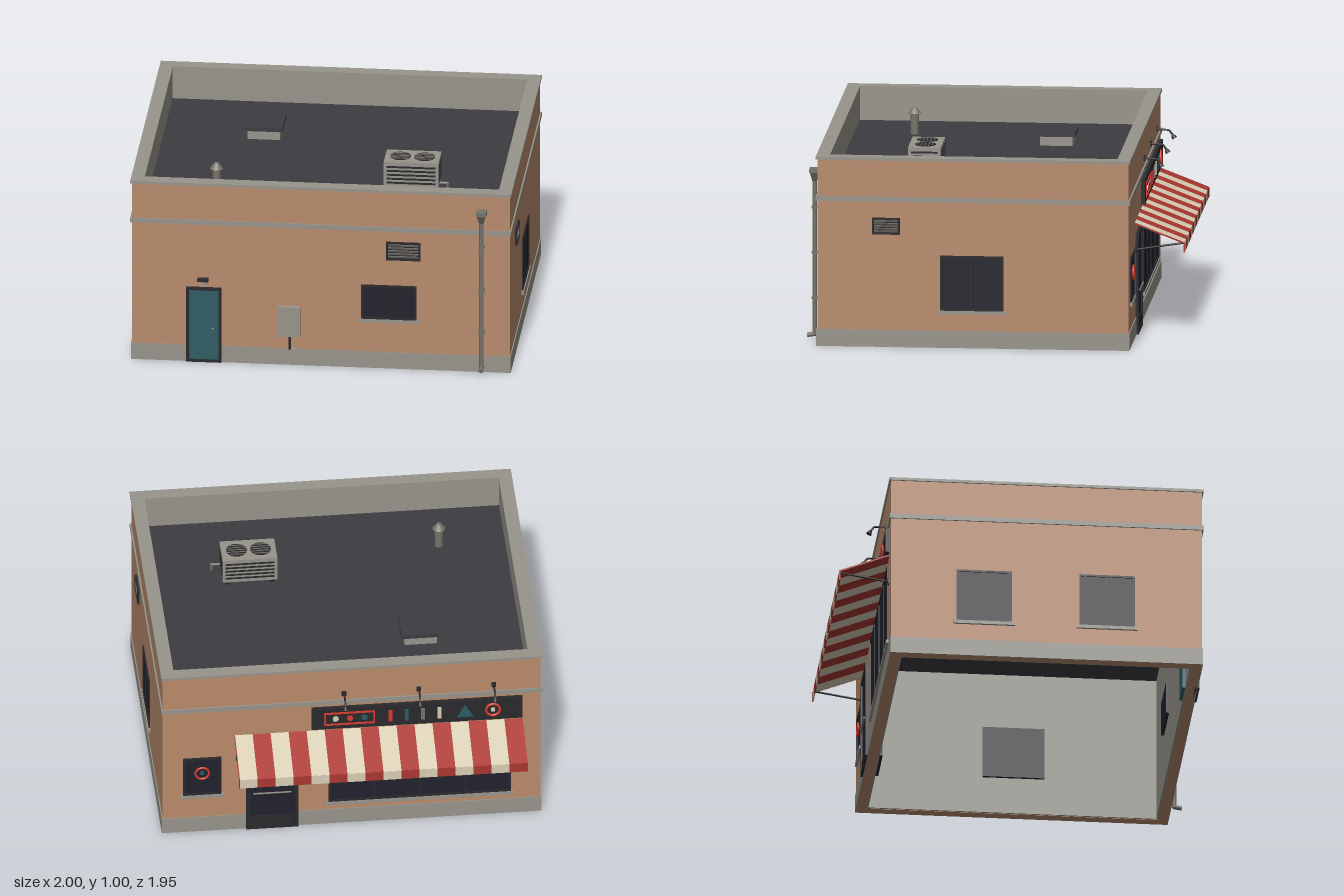
import * as THREE from 'three';

const mat = (name, color) => Object.assign(new THREE.MeshStandardMaterial({ color }), { name });
const M = {
  brick: mat('terracotta wall', 0xb98b6c),
  concrete: mat('concrete', 0x97948b),
  roof: mat('dark roofing', 0x3d3b41),
  teal: mat('teal paint', 0x2f5c64),
  glass: mat('dark glass', 0x22222d),
  dark: mat('dark metal', 0x2a292c),
  steel: mat('grey steel', 0x77736c),
  red: mat('awning red', 0xab3630),
  cream: mat('awning cream', 0xd9cdb4),
  neon: mat('neon red', 0xd63a2e),
};

function add(parent, name, geometry, material) {
  const mesh = new THREE.Mesh(geometry, material);
  mesh.name = name;
  parent.add(mesh);
  return mesh;
}

// box given by its limits on each axis
function box(parent, name, material, x0, x1, y0, y1, z0, z1) {
  const mesh = add(parent, name, new THREE.BoxGeometry(x1 - x0, y1 - y0, z1 - z0), material);
  mesh.position.set((x0 + x1) / 2, (y0 + y1) / 2, (z0 + z1) / 2);
  return mesh;
}

function cyl(parent, name, material, r0, r1, y0, y1, x, z, sides = 16) {
  const mesh = add(parent, name, new THREE.CylinderGeometry(r1, r0, y1 - y0, sides), material);
  mesh.position.set(x, (y0 + y1) / 2, z);
  return mesh;
}

// round bar between two points
function rod(parent, name, material, a, b, r) {
  const p = new THREE.Vector3(...a), d = new THREE.Vector3(...b).sub(p);
  const mesh = add(parent, name, new THREE.CylinderGeometry(r, r, d.length(), 10), material);
  mesh.position.copy(p).addScaledVector(d, 0.5);
  mesh.quaternion.setFromUnitVectors(new THREE.Vector3(0, 1, 0), d.normalize());
  return mesh;
}

function group(parent, name) {
  const g = new THREE.Group();
  g.name = name;
  parent.add(g);
  return g;
}

const X = 0.985, ZF = 0.905, ZB = -0.715, ROOF = 0.82;

// rectangular ring round the building, grown outwards by out, t thick
function ring(parent, name, material, out, t, y0, y1) {
  const g = group(parent, name), x = X + out, f = ZF + out, b = ZB - out;
  box(g, name + 'Front', material, -x, x, y0, y1, f - t, f);
  box(g, name + 'Back', material, -x, x, y0, y1, b, b + t);
  for (const s of [-1, 1]) {
    const side = box(g, name + 'Side', material, -t / 2, t / 2, y0, y1, b + t, f - t);
    side.position.x = s * (x - t / 2);
  }
}

// frame of four bars around an opening
function frame(g, name, material, u0, u1, y0, y1, t, z0, z1) {
  box(g, name, material, u0, u0 + t, y0, y1, z0, z1);
  box(g, name, material, u1 - t, u1, y0, y1, z0, z1);
  box(g, name, material, u0 + t, u1 - t, y1 - t, y1, z0, z1);
  box(g, name, material, u0 + t, u1 - t, y0, y0 + t, z0, z1);
}

// window through the wall; u runs along the wall, z points outwards
function windowUnit(wall, u, w, y0, y1, panes) {
  const g = group(wall, 'window'), a = u - w / 2, b = u + w / 2;
  box(g, 'glass', M.glass, a + 0.004, b - 0.004, y0 + 0.004, y1 - 0.004, -0.075, 0.003);
  frame(g, 'windowFrame', M.dark, a, b, y0, y1, 0.011, -0.01, 0.008);
  for (let i = 1; i < panes; i++) {
    const m = a + (w * i) / panes;
    box(g, 'mullion', M.dark, m - 0.005, m + 0.005, y0 + 0.01, y1 - 0.01, 0, 0.007);
  }
  box(g, 'sill', M.concrete, a - 0.015, b + 0.015, y0 - 0.018, y0, -0.01, 0.013);
}

function louvre(wall, u0, u1, y0, y1) {
  const g = group(wall, 'louvreVent'), n = 5, h = (y1 - y0 - 0.02) / n;
  box(g, 'louvreBack', M.dark, u0, u1, y0, y1, -0.01, 0.005);
  frame(g, 'louvreFrame', M.dark, u0, u1, y0, y1, 0.01, 0, 0.012);
  for (let i = 0; i < n; i++) {
    const y = y0 + 0.01 + (i + 0.5) * h;
    const slat = box(g, 'slat', M.steel, u0 + 0.01, u1 - 0.01, y - h * 0.32, y + h * 0.32, 0.004, 0.008);
    slat.rotation.x = 0.4;
  }
}

function frontWall(g) {
  // back-of-house door with lamp
  const door = group(g, 'serviceDoor');
  box(door, 'doorLeaf', M.teal, -0.69, -0.53, 0.004, 0.408, -0.075, 0.008);
  frame(door, 'doorFrame', M.dark, -0.702, -0.518, 0, 0.417, 0.015, -0.01, 0.014);
  add(door, 'doorKnob', new THREE.SphereGeometry(0.007, 12, 8), M.steel).position.set(-0.562, 0.19, 0.016);
  box(door, 'lampHood', M.dark, -0.642, -0.585, 0.452, 0.47, 0, 0.022);
  box(door, 'lampGlass', M.concrete, -0.634, -0.593, 0.436, 0.452, 0, 0.016);
  // meter box and conduit
  box(g, 'meterBox', M.concrete, -0.22, -0.105, 0.165, 0.33, 0, 0.03);
  rod(g, 'conduit', M.dark, [-0.16, 0.09, 0.012], [-0.16, 0.17, 0.012], 0.007);
  windowUnit(g, 0.355, 0.29, 0.275, 0.465, 2);
  louvre(g, 0.34, 0.52, 0.61, 0.71);
  // downspout
  const d = group(g, 'downspout');
  rod(d, 'pipe', M.steel, [0.84, 0.03, 0.026], [0.84, 0.86, 0.026], 0.012);
  const hopper = cyl(d, 'hopper', M.steel, 0.017, 0.032, 0.845, 0.888, 0.84, 0.026, 4);
  hopper.geometry.rotateY(Math.PI / 4);
  box(d, 'hopperRim', M.steel, 0.814, 0.866, 0.888, 0.91, 0, 0.052);
  rod(d, 'shoe', M.steel, [0.84, 0.035, 0.02], [0.84, 0.028, 0.065], 0.012);
  for (const y of [0.22, 0.46, 0.7]) box(d, 'bracket', M.steel, 0.824, 0.856, y, y + 0.012, 0, 0.04);
}

function shopWall(g) {
  // shop window, small window with a lit ring, and entrance
  windowUnit(g, 0.355, 0.95, 0.14, 0.57, 4);
  windowUnit(g, -0.78, 0.2, 0.235, 0.47, 1);
  add(g, 'neonRing', new THREE.TorusGeometry(0.035, 0.006, 8, 28), M.neon).position.set(-0.78, 0.375, 0.01);
  box(g, 'neonBar', M.teal, -0.79, -0.77, 0.365, 0.385, 0.004, 0.01);
  const door = group(g, 'shopDoor');
  box(door, 'doorGlass', M.glass, -0.54, -0.29, 0.004, 0.52, -0.075, 0.007);
  frame(door, 'doorFrame', M.dark, -0.55, -0.278, 0, 0.53, 0.02, -0.01, 0.016);
  box(door, 'kickPlate', M.dark, -0.53, -0.298, 0.02, 0.08, 0, 0.012);
  rod(door, 'pushBar', M.steel, [-0.515, 0.23, 0.02], [-0.315, 0.23, 0.02], 0.005);

  // sign board with abstract lit shapes
  const sign = group(g, 'signBoard');
  box(sign, 'board', M.dark, -0.21, 0.89, 0.62, 0.752, 0, 0.02);
  frame(sign, 'neonFrame', M.neon, -0.145, 0.12, 0.645, 0.725, 0.009, 0.02, 0.026);
  [M.cream, M.neon, M.teal].forEach((m, i) => {
    const dot = add(sign, 'dot', new THREE.CylinderGeometry(0.016, 0.016, 0.006, 16), m);
    dot.rotation.x = Math.PI / 2;
    dot.position.set(-0.085 + i * 0.075, 0.685, 0.023);
  });
  [M.neon, M.teal, M.steel, M.cream].forEach((m, i) => {
    const u = 0.2 + i * 0.085;
    box(sign, 'bar', m, u - 0.01, u + 0.01, 0.65, 0.72, 0.02, 0.026);
  });
  const tri = add(sign, 'triangle', new THREE.CylinderGeometry(0.05, 0.05, 0.006, 3), M.teal);
  tri.rotation.x = Math.PI / 2;
  tri.geometry.rotateY(Math.PI);
  tri.position.set(0.59, 0.675, 0.023);
  add(sign, 'ring', new THREE.TorusGeometry(0.036, 0.007, 8, 28), M.neon).position.set(0.735, 0.685, 0.023);
  box(sign, 'ringCentre', M.cream, 0.725, 0.745, 0.675, 0.695, 0.02, 0.026);

  // gooseneck lamps
  for (const u of [0.74, 0.35, -0.04]) {
    const lamp = group(g, 'signLamp');
    box(lamp, 'mount', M.dark, u - 0.012, u + 0.012, 0.82, 0.846, 0, 0.008);
    rod(lamp, 'arm', M.dark, [u, 0.833, 0], [u, 0.83, 0.066], 0.005);
    rod(lamp, 'neck', M.dark, [u, 0.83, 0.066], [u, 0.806, 0.083], 0.005);
    const shade = add(lamp, 'shade', new THREE.CylinderGeometry(0.006, 0.015, 0.024, 14), M.dark);
    shade.position.set(u, 0.798, 0.088);
    shade.rotation.x = -0.5;
  }

  // striped awning with a straight valance
  const aw = group(g, 'awning'), out = 0.258, drop = 0.1, w = 1.5 / 16;
  const slope = Math.atan2(drop, out), len = Math.hypot(drop, out);
  const strip = (name, m, u, width, t) => {
    const top = add(aw, name, new THREE.BoxGeometry(width, t, len), m);
    top.position.set(u, 0.55, out / 2);
    top.rotation.x = slope;
    box(aw, name + 'Valance', m, u - width / 2, u + width / 2, 0.45, 0.502, out - t / 2, out + t / 2);
  };
  for (let i = 0; i < 16; i++) strip('stripe', i % 2 ? M.cream : M.red, 0.89 - (i + 0.5) * w, w, 0.006);
  for (const u of [0.89, -0.61]) {
    strip('endTrim', M.red, u, 0.004, 0.008);
    const a = u > 0 ? u - 0.02 : u + 0.02;
    rod(aw, 'supportArm', M.dark, [a, 0.457, 0], [a, 0.497, out - 0.004], 0.005);
    box(aw, 'armPlate', M.dark, a - 0.012, a + 0.012, 0.442, 0.472, 0, 0.008);
  }
}

function roofItems(root) {
  // access hatch
  const hatch = group(root, 'roofHatch');
  box(hatch, 'curb', M.concrete, -0.485, -0.315, ROOF, ROOF + 0.05, -0.315, -0.145);
  box(hatch, 'lid', M.roof, -0.5, -0.3, ROOF + 0.05, ROOF + 0.07, -0.33, -0.13);
  // vent stack
  const stack = group(root, 'ventStack');
  cyl(stack, 'stackPipe', M.steel, 0.022, 0.022, ROOF, ROOF + 0.12, -0.58, 0.53);
  cyl(stack, 'stackCap', M.steel, 0.034, 0.012, ROOF + 0.11, ROOF + 0.14, -0.58, 0.53);
  // cooling unit with slatted sides and two fans
  const ac = group(root, 'coolingUnit'), y = ROOF + 0.155;
  box(ac, 'casing', M.concrete, 0.285, 0.57, ROOF + 0.015, y, 0.298, 0.468);
  for (const x of [0.3, 0.53]) box(ac, 'foot', M.dark, x, x + 0.025, ROOF, ROOF + 0.015, 0.3, 0.466);
  for (let i = 0; i < 5; i++) {
    const s = ROOF + 0.035 + i * 0.022;
    box(ac, 'slotLong', M.dark, 0.3, 0.555, s, s + 0.01, 0.296, 0.47);
    box(ac, 'slotShort', M.dark, 0.283, 0.572, s, s + 0.01, 0.313, 0.453);
  }
  for (const x of [0.365, 0.49]) {
    cyl(ac, 'fan', M.dark, 0.054, 0.054, y, y + 0.003, x, 0.383, 28);
    for (let i = -2; i <= 2; i++) {
      const z = 0.383 + i * 0.019, h = Math.sqrt(0.054 ** 2 - (i * 0.019) ** 2);
      box(ac, 'grilleBar', M.steel, x - h, x + h, y + 0.002, y + 0.006, z - 0.002, z + 0.002);
    }
  }
  rod(ac, 'coolantPipe', M.steel, [0.56, ROOF + 0.035, 0.435], [0.62, ROOF + 0.035, 0.435], 0.007);
  rod(ac, 'coolantDrop', M.steel, [0.615, ROOF, 0.435], [0.615, ROOF + 0.038, 0.435], 0.007);
}

export function createModel() {
  const root = new THREE.Group();
  root.name = 'cornerShop';

  // shell
  ring(root, 'wall', M.brick, 0, 0.05, 0, 0.985);
  ring(root, 'innerLining', M.concrete, -0.05, 0.01, 0.002, 0.985);
  ring(root, 'plinth', M.concrete, 0.005, 0.01, 0, 0.09);
  ring(root, 'beltCourse', M.concrete, 0.008, 0.02, 0.768, 0.793);
  ring(root, 'coping', M.concrete, 0.008, 0.07, 0.985, 1);
  box(root, 'roofDeck', M.roof, -X + 0.055, X - 0.055, ROOF - 0.03, ROOF, ZB + 0.055, ZF - 0.055);

  // each wall's fittings share one local frame: x along, z outwards
  const wall = (name, x, z, turn) => {
    const g = group(root, name);
    g.position.set(x, 0, z);
    g.rotation.y = turn;
    return g;
  };
  frontWall(wall('frontFittings', 0, ZF, 0));
  shopWall(wall('shopFittings', 0, ZB, Math.PI));
  const left = wall('leftFittings', X, 0, Math.PI / 2);
  windowUnit(left, -0.1, 0.33, 0.197, 0.487, 2);
  louvre(left, -0.62, -0.475, 0.595, 0.682);
  const right = wall('rightFittings', -X, 0, -Math.PI / 2);
  for (const z of [-0.23, 0.41]) windowUnit(right, z, 0.29, 0.197, 0.487, 2);

  roofItems(root);
  return root;
}
